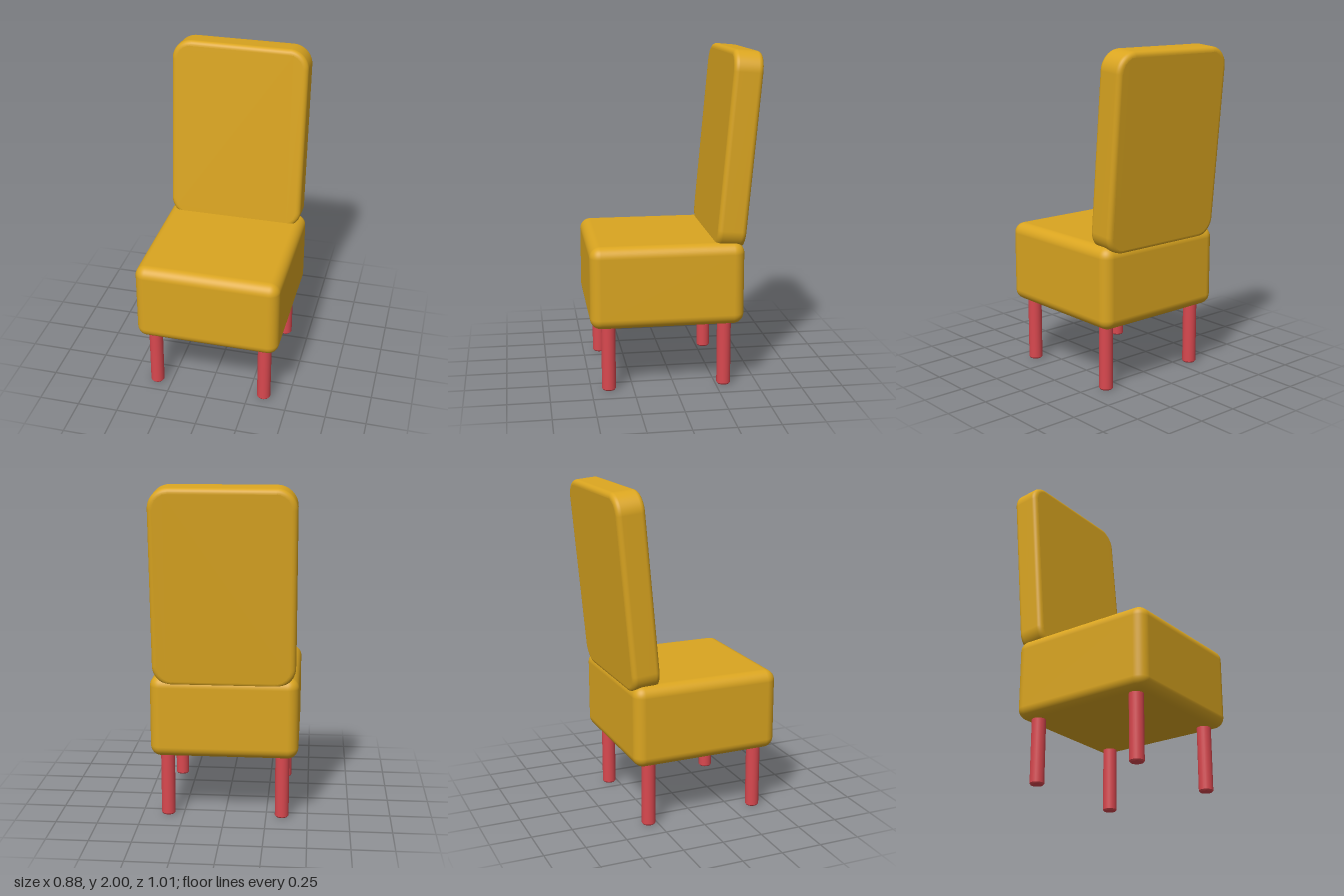
import * as THREE from 'three';
import { mergeVertices } from 'three/addons/utils/BufferGeometryUtils.js';
import { RoundedBoxGeometry } from 'three/addons/geometries/RoundedBoxGeometry.js';

// Upright cushion: rounded rectangle extruded with a soft bevel, smooth normals
function cushionGeometry(width, height, depth, corner, bevel) {
  const x = width / 2 - bevel, y = height / 2 - bevel, r = corner - bevel;
  const shape = new THREE.Shape();
  shape.moveTo(-x + r, -y);
  shape.lineTo(x - r, -y);
  shape.absarc(x - r, -y + r, r, -Math.PI / 2, 0);
  shape.absarc(x - r, y - r, r, 0, Math.PI / 2);
  shape.absarc(-x + r, y - r, r, Math.PI / 2, Math.PI);
  shape.absarc(-x + r, -y + r, r, Math.PI, Math.PI * 1.5);
  const extruded = new THREE.ExtrudeGeometry(shape, {
    depth: depth - 2 * bevel, bevelEnabled: true, bevelThickness: bevel,
    bevelSize: bevel, bevelSegments: 6, curveSegments: 10,
  });
  extruded.translate(0, 0, bevel - depth / 2);
  extruded.deleteAttribute('normal');
  extruded.deleteAttribute('uv');
  const geometry = mergeVertices(extruded, 1e-4);
  geometry.computeVertexNormals();
  return geometry;
}

export function createModel() {
  const model = new THREE.Group();
  model.name = 'chair';
  const upholstery = new THREE.MeshStandardMaterial({ color: 0xdaa520 });
  upholstery.name = 'mustard upholstery';
  const paint = new THREE.MeshStandardMaterial({ color: 0xd9484f });
  paint.name = 'red paint';

  const add = (name, geometry, material, x, y, z) => {
    const mesh = new THREE.Mesh(geometry, material);
    mesh.name = name;
    mesh.position.set(x, y, z);
    model.add(mesh);
    return mesh;
  };

  // Thick padded seat
  add('seat', new RoundedBoxGeometry(0.88, 0.495, 0.915, 6, 0.065), upholstery, 0, 0.6375, 0.047);

  // Tall backrest leaning backwards
  const back = add('backrest', cushionGeometry(0.84, 1.165, 0.172, 0.12, 0.03), upholstery, 0, 1.417, -0.374);
  back.rotation.x = -0.089;

  // Four round legs with slightly eased feet
  const legProfile = [[0, 0], [0.036, 0], [0.036, 0], [0.042, 0.008], [0.042, 0.008], [0.042, 0.42]]
    .map(([r, y]) => new THREE.Vector2(r, y));
  const legGeometry = new THREE.LatheGeometry(legProfile, 24);
  for (const [row, z] of [['front', 0.395], ['back', -0.3]]) {
    for (const [side, x] of [['Left', 0.345], ['Right', -0.345]]) {
      add(row + side + 'Leg', legGeometry, paint, x, 0, z);
    }
  }
  return model;
}
